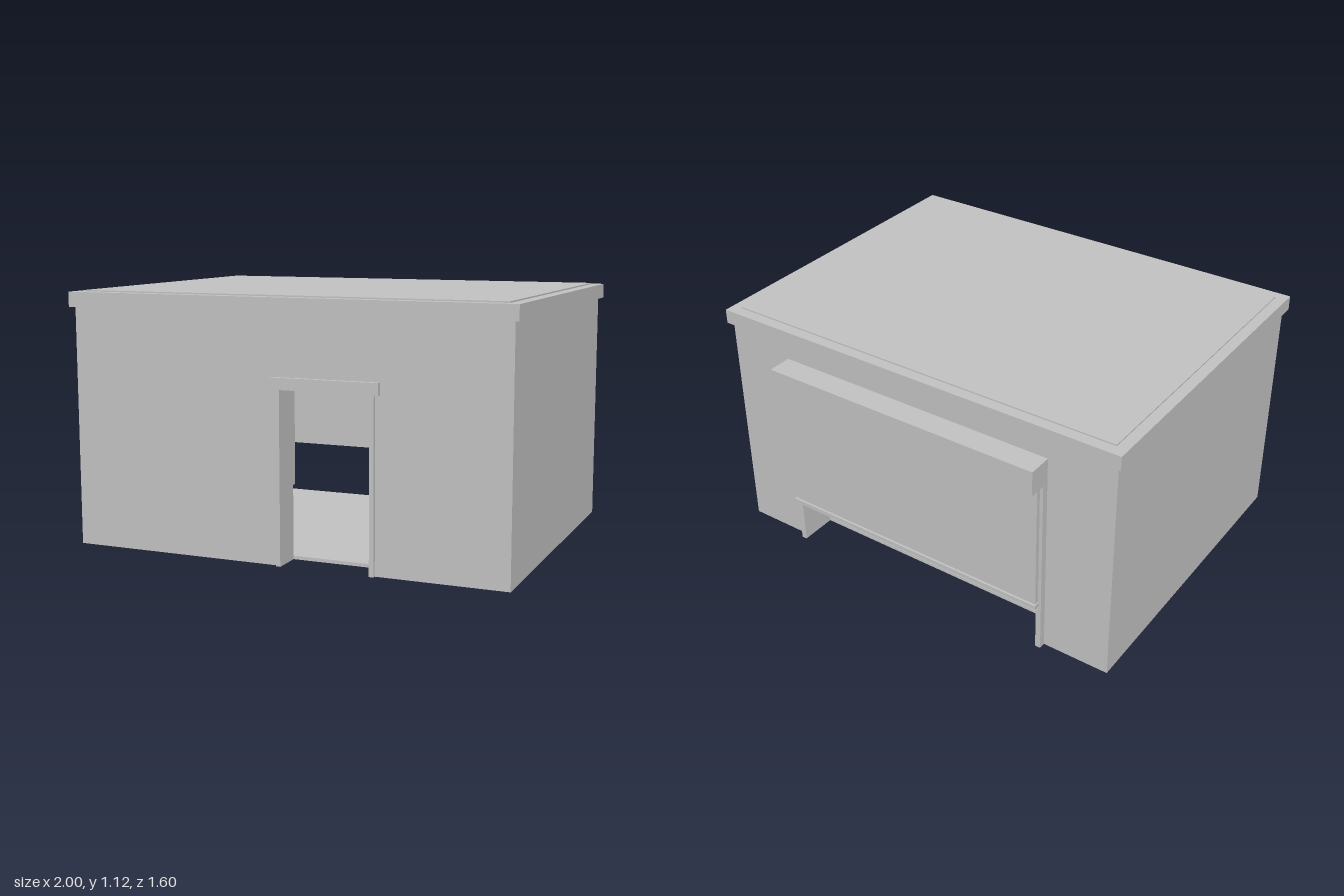
import * as THREE from 'three';

const concrete = new THREE.MeshStandardMaterial({ color: 0xc0c0c0 });
concrete.name = 'light grey';

export function createModel() {
  const model = new THREE.Group();
  model.name = 'garage';

  // Box given by its limits on each axis
  const box = (name, x0, x1, y0, y1, z0, z1) => {
    const mesh = new THREE.Mesh(new THREE.BoxGeometry(x1 - x0, y1 - y0, z1 - z0), concrete);
    mesh.position.set((x0 + x1) / 2, (y0 + y1) / 2, (z0 + z1) / 2);
    mesh.name = name;
    model.add(mesh);
  };

  // Wall across the building with a doorway reaching the ground
  const W = 0.98, H = 1.05;
  const wallWithDoorway = (name, x0, x1, top, z0, z1) => {
    const outline = [[-W, 0], [x0, 0], [x0, top], [x1, top], [x1, 0], [W, 0], [W, H], [-W, H]];
    const shape = new THREE.Shape(outline.map(([x, y]) => new THREE.Vector2(x, y)));
    const geometry = new THREE.ExtrudeGeometry(shape, { depth: z1 - z0, bevelEnabled: false });
    const mesh = new THREE.Mesh(geometry, concrete);
    mesh.position.z = z0;
    mesh.name = name;
    model.add(mesh);
  };

  // Walls, floor and ceiling
  const front = 0.78, back = -0.69, inFront = 0.665, inBack = -0.83 + 0.28, t = 0.12;
  wallWithDoorway('frontWall', 0, 0.395, 0.74, inFront, front);
  wallWithDoorway('backWall', -0.645, 0.645, 0.87, back, inBack);
  box('leftWall', W - t, W, 0, H, inBack, inFront);
  box('rightWall', -W, -W + t, 0, H, inBack, inFront);
  box('floor', -W + t, W - t, 0, 0.015, inBack, inFront);
  box('ceiling', -W + t, W - t, 1.035, H, inBack, inFront);

  // Roof slab with a slightly raised deck
  box('roofSlab', -1, 1, H, 1.115, -0.71, 0.8);
  box('roofDeck', -0.95, 0.95, 1.115, 1.121, -0.66, 0.75);

  // Front door frame
  box('doorPostRight', -0.02, 0, 0, 0.74, front, 0.795);
  box('doorPostLeft', 0.395, 0.415, 0, 0.74, front, 0.795);
  box('doorLintel', -0.04, 0.435, 0.74, 0.79, front, 0.8);

  // Roller shutter: guide rails, housing, curtain and bottom bar
  for (const [side, x] of [['Left', 0.6575], ['Right', -0.6575]]) {
    box('shutterRail' + side, x - 0.0125, x + 0.0125, 0, 0.85, -0.72, back);
  }
  box('shutterHousing', -0.67, 0.67, 0.85, 0.965, -0.8, back);
  box('shutterCurtain', -0.655, 0.655, 0.25, 0.85, -0.74, -0.72);
  box('shutterBar', -0.66, 0.66, 0.23, 0.25, -0.75, -0.72);

  return model;
}
